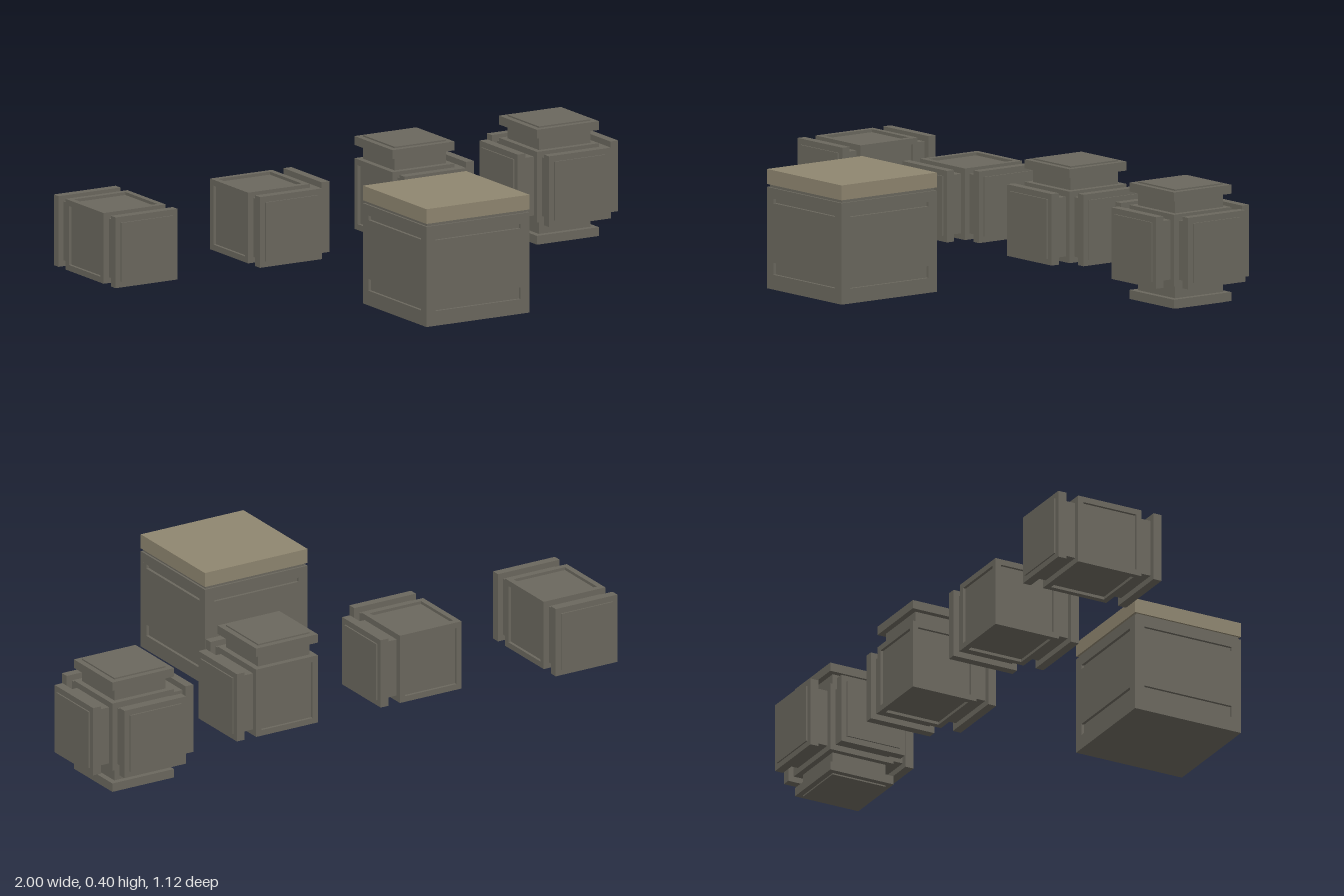
import * as THREE from 'three';

const iron = new THREE.MeshStandardMaterial({ color: 0x6b685e });
iron.name = 'dark iron';
const brass = new THREE.MeshStandardMaterial({ color: 0x8f8670 });
brass.name = 'dull brass';

function box(parent, name, size, pos, material = iron) {
  const mesh = new THREE.Mesh(new THREE.BoxGeometry(...size), material);
  mesh.name = name;
  mesh.position.set(...pos);
  parent.add(mesh);
  return mesh;
}

// Cube hub: sunken panels surrounded by twelve edge bars
function addHub(parent) {
  box(parent, 'hubCore', [0.22, 0.22, 0.22], [0, 0, 0]);
  for (let axis = 0; axis < 3; axis++) {
    for (const a of [-0.11, 0.11]) for (const b of [-0.11, 0.11]) {
      const size = [0.02, 0.02, 0.02], pos = [0, 0, 0];
      // bars along y carry the corners, the others fit between them
      size[axis] = axis === 1 ? 0.24 : 0.2;
      pos[(axis + 1) % 3] = a;
      pos[(axis + 2) % 3] = b;
      box(parent, 'hubEdge', size, pos);
    }
  }
}

// Square arm with a wider flange just short of its end
function addArm(parent, axis, sign) {
  const arm = new THREE.Group();
  arm.name = 'pipeArm';
  const slab = (name, width, from, to) => {
    const size = [width, width, width], pos = [0, 0, 0];
    size[axis] = to - from;
    pos[axis] = sign * (from + to) / 2;
    box(arm, name, size, pos);
  };
  slab('armTube', 0.2, 0.105, 0.2);
  slab('armFlange', 0.24, 0.165, 0.195);
  parent.add(arm);
}

function pipe(name, x, arms) {
  const group = new THREE.Group();
  group.name = name;
  addHub(group);
  for (const [axis, sign] of arms) addArm(group, axis, sign);
  group.position.set(x, 0.2, -0.36);
  return group;
}

// Crate with sunken slots on all four sides and a separate lid
function crate() {
  const group = new THREE.Group();
  group.name = 'lidCrate';
  const layer = (name, width, y0, y1, material) =>
    box(group, name, [width, y1 - y0, width], [0, (y0 + y1) / 2, 0], material);
  layer('crateBase', 0.4, 0, 0.05);
  layer('crateMiddle', 0.4, 0.09, 0.29);
  layer('crateRim', 0.4, 0.305, 0.34);
  for (const [y0, y1] of [[0.05, 0.09], [0.29, 0.305]]) {
    layer('slotBack', 0.38, y0, y1);
    for (const x of [-0.1825, 0.1825]) for (const z of [-0.1825, 0.1825])
      box(group, 'slotCorner', [0.035, y1 - y0, 0.035], [x, (y0 + y1) / 2, z]);
  }
  layer('lidNeck', 0.386, 0.34, 0.35);
  layer('lid', 0.4, 0.35, 0.4, brass);
  group.position.set(-0.04, 0, 0.36);
  return group;
}

export function createModel() {
  const model = new THREE.Group();
  model.name = 'pipeSet';
  const X = 0, Y = 1, Z = 2;
  model.add(
    crate(),
    pipe('straightPipe', -0.88, [[Z, 1], [Z, -1]]),
    pipe('elbowPipe', -0.32, [[X, 1], [Z, 1]]),
    pipe('cornerPipe', 0.24, [[X, 1], [Y, 1], [Z, 1]]),
    pipe('crossPipe', 0.8, [[X, 1], [X, -1], [Y, 1], [Y, -1], [Z, 1], [Z, -1]])
  );
  return model;
}
